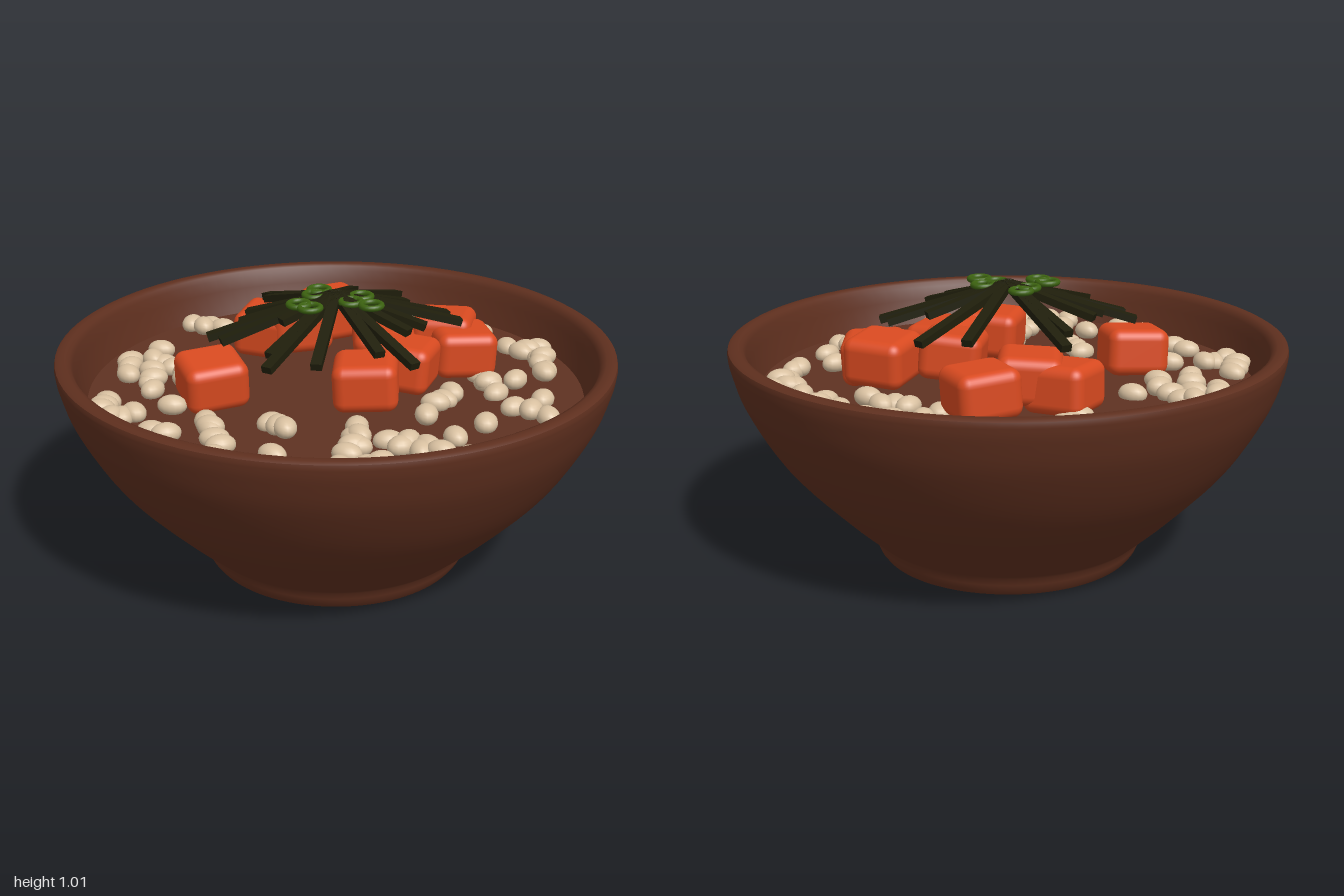
import * as THREE from 'three';
import { RoundedBoxGeometry } from 'three/addons/geometries/RoundedBoxGeometry.js';
import { toCreasedNormals } from 'three/addons/utils/BufferGeometryUtils.js';

const mat = (name, color) => Object.assign(new THREE.MeshStandardMaterial({ color }), { name });

export function createModel() {
  const model = new THREE.Group();
  const clay = mat('clay brown', 0x5e2f1e);
  const broth = mat('broth brown', 0x5f3222);
  const carrotMat = mat('carrot orange', 0xd94a20);
  const beanMat = mat('bean cream', 0xd8c0a0);
  const stripMat = mat('dark seaweed', 0x1f1e0b);
  const ringMat = mat('scallion green', 0x3c6210);
  const SOUP = 0.645;

  const add = (parent, name, geometry, material, x = 0, y = 0, z = 0) => {
    const mesh = new THREE.Mesh(geometry, material);
    mesh.name = name;
    mesh.position.set(x, y, z);
    parent.add(mesh);
    return mesh;
  };
  const group = (name) => {
    const g = new THREE.Group();
    g.name = name;
    model.add(g);
    return g;
  };

  // Bowl: foot, curved outer wall, rounded rim and inner wall
  const V = (x, y) => new THREE.Vector2(x, y);
  const outer = new THREE.SplineCurve([
    V(0.5, 0.07), V(0.64, 0.2), V(0.825, 0.4), V(0.945, 0.6), V(0.99, 0.73), V(1, 0.79),
  ]).getPoints(24);
  const profile = [
    V(0, 0), V(0.47, 0), V(0.485, 0.02), V(0.495, 0.045), ...outer,
    V(0.997, 0.803), V(0.985, 0.81), V(0.96, 0.81), V(0.945, 0.803), V(0.935, 0.785),
    V(0.925, 0.74), V(0.9, 0.66), V(0.87, 0.58), V(0, 0.56),
  ];
  add(model, 'bowl', toCreasedNormals(new THREE.LatheGeometry(profile, 96), 0.7), clay);

  // Broth surface
  add(model, 'broth', new THREE.CylinderGeometry(0.893, 0.87, 0.05, 96), broth, 0, SOUP - 0.025, 0);

  // Beans: chains as [x1, z1, x2, z2, count], then single beans as [x, z]
  const beans = group('beans');
  const beanGeo = new THREE.SphereGeometry(1, 16, 12).scale(0.041, 0.036, 0.053);
  const bean = (x, z, turn, i) => {
    add(beans, 'bean', beanGeo, beanMat, x, SOUP + 0.014 + 0.006 * (i % 3), z).rotation.y = turn;
  };
  const chains = [
    [-0.46, -0.69, -0.51, -0.52, 5], [-0.16, -0.66, 0.05, -0.73, 5], [0.22, -0.72, 0.25, -0.66, 2],
    [0.38, -0.65, 0.51, -0.64, 4], [0.49, -0.69, 0.62, -0.46, 5], [-0.02, -0.52, 0.13, -0.57, 4],
    [0.43, -0.32, 0.52, -0.24, 4], [0.65, -0.13, 0.78, -0.13, 3], [0.41, -0.12, 0.4, -0.02, 3],
    [0.43, 0.35, 0.6, 0.32, 6], [0.29, 0.32, 0.36, 0.46, 5], [0.38, 0.53, 0.67, 0.49, 6],
    [0.33, 0.69, 0.54, 0.53, 6], [0.35, 0.75, 0.49, 0.67, 3], [-0.02, 0.68, -0.01, 0.74, 2],
    [-0.18, 0.54, -0.1, 0.61, 4], [-0.29, 0.7, -0.23, 0.7, 2], [-0.48, 0.69, -0.44, 0.61, 3],
    [-0.59, 0.57, -0.55, 0.66, 3], [-0.75, 0.25, -0.7, 0.33, 4], [-0.68, 0.2, -0.53, 0.4, 6],
    [-0.65, 0.18, -0.52, 0.22, 3], [-0.8, -0.2, -0.7, -0.26, 4], [-0.55, -0.33, -0.52, -0.22, 3],
    [0.0, 0.42, 0.08, 0.45, 3],
  ];
  chains.forEach(([x1, z1, x2, z2, n], c) => {
    for (let i = 0; i < n; i++) {
      const t = i / (n - 1), side = n > 3 ? (i % 2 - 0.5) * 0.03 : 0;
      bean(x1 + (x2 - x1) * t + side, z1 + (z2 - z1) * t + side, c * 1.3 + i * 0.5, c + i);
    }
  });
  const singles = [
    [-0.29, -0.78], [-0.33, -0.65], [-0.17, -0.78], [0.07, -0.85], [0.07, -0.81], [0.12, -0.71],
    [-0.14, -0.57], [-0.15, -0.5], [0.55, -0.35], [0.7, -0.26], [0.63, 0.045], [0.43, 0.1],
    [0.59, 0.19], [0.71, 0.31], [0.165, 0.65], [0.13, 0.815], [0, 0.81], [-0.47, 0.28],
    [-0.48, 0.12], [-0.74, 0.08], [-0.36, 0.5],
  ];
  singles.forEach(([x, z], i) => bean(x, z, i < 4 || x > 0.4 ? 1.5 + i * 0.2 : i * 0.1, i));

  // Carrot chunks: [x, z, turn, top height]
  const carrots = group('carrots');
  const carrotGeo = new RoundedBoxGeometry(0.225, 0.17, 0.225, 4, 0.04);
  const chunks = [
    [-0.28, -0.44, -0.4, 0.84], [-0.3, -0.22, 0.7, 0.85], [-0.41, -0.17, 0.25, 0.825],
    [0.22, -0.41, 0.35, 0.855], [0.32, -0.36, 0.75, 0.83], [0.09, -0.19, 0.6, 0.85],
    [0.23, -0.09, 0.25, 0.845], [0.21, 0.14, 0.5, 0.85], [-0.29, 0.36, -0.65, 0.825],
  ];
  chunks.forEach(([x, z, turn, top], i) => {
    add(carrots, 'carrotChunk', carrotGeo, carrotMat, x, top - 0.087, z)
      .rotation.set(0.06 * (i % 3 - 1), turn, 0.05 * (i % 2 ? 1 : -1));
  });

  // Seaweed strips: bars sloping from the peak to each [x, z] tip
  const strips = group('seaweedStrips');
  const tips = [
    [-0.01, -0.46], [-0.16, -0.38], [-0.42, -0.17], [-0.36, -0.09], [-0.31, 0.11], [-0.34, 0.31],
    [-0.26, 0.34], [-0.1, 0.2], [-0.02, 0.39], [0.015, 0.46], [0.16, 0.38], [0.3, 0.2],
    [0.42, 0.17], [0.3, 0], [0.31, -0.1], [0.34, -0.31], [0.27, -0.34], [0.13, -0.28], [-0.28, 0.2],
  ];
  tips.forEach(([x, z]) => {
    const r = Math.hypot(x, z);
    const peak = new THREE.Vector3(0, 1.0, 0), tip = new THREE.Vector3(x, 1.0 - 0.29 * r, z);
    const geo = new THREE.BoxGeometry(0.038, 0.026, peak.distanceTo(tip));
    const strip = add(strips, 'seaweedStrip', geo, stripMat);
    strip.position.lerpVectors(peak, tip, 0.5);
    strip.lookAt(tip);
  });

  // Scallion rings lying on the peak
  const rings = group('scallionRings');
  const ringGeo = new THREE.TorusGeometry(0.036, 0.011, 10, 24).rotateX(Math.PI / 2);
  const spots = [
    [-0.09, -0.03], [-0.075, 0.025], [0.075, -0.05], [0.075, 0.02], [0.155, 0.015],
    [-0.065, 0.14], [-0.012, 0.15],
  ];
  spots.forEach(([x, z]) => add(rings, 'scallionRing', ringGeo, ringMat, x, 0.99, z));

  return model;
}
